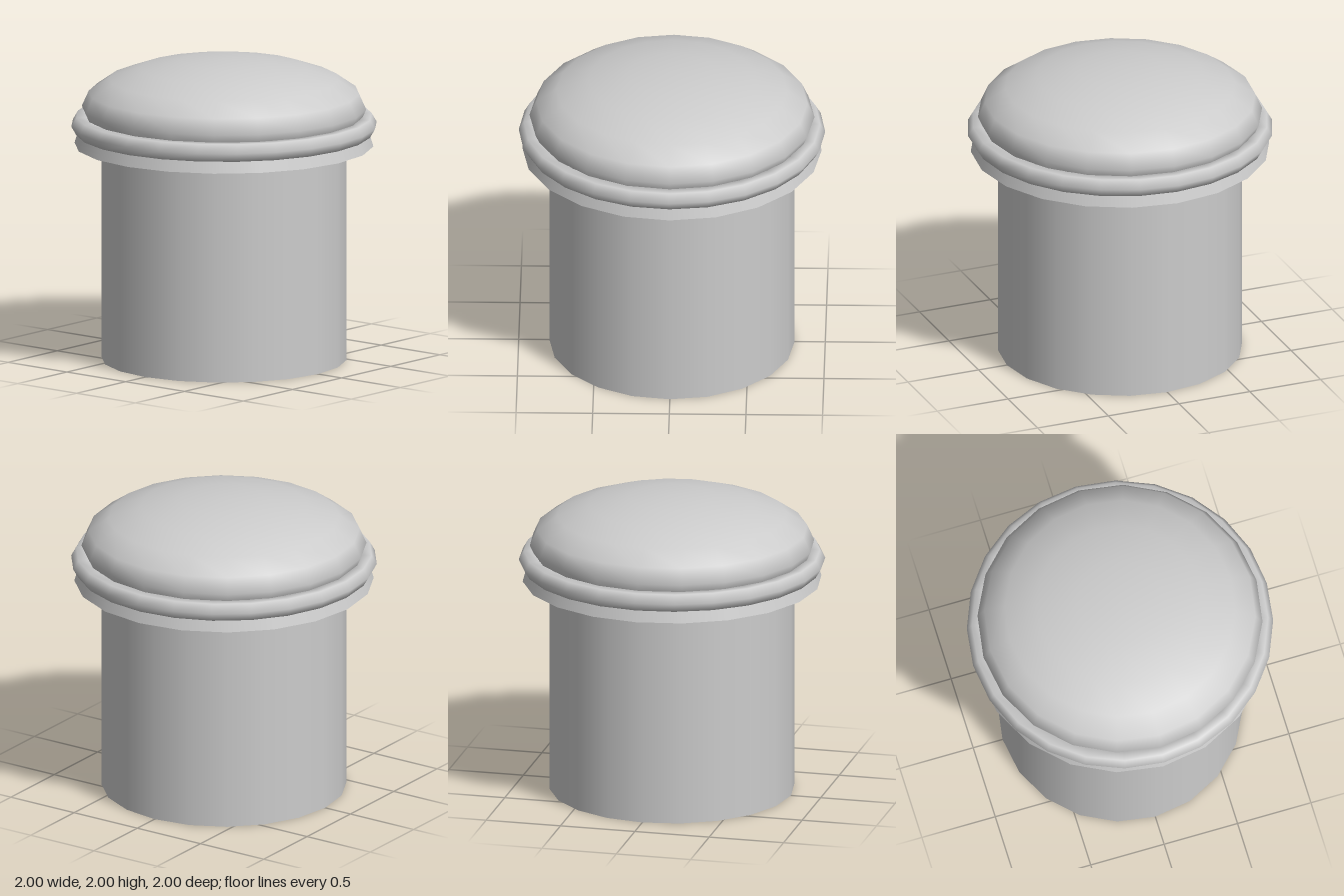
import * as THREE from 'three';

export function createModel() {
  const group = new THREE.Group();
  const grey = new THREE.MeshStandardMaterial({ color: 0xcccccc });
  grey.name = 'light grey';

  const add = (name, geometry, y) => {
    const mesh = new THREE.Mesh(geometry, grey);
    mesh.name = name;
    mesh.position.y = y;
    group.add(mesh);
    return mesh;
  };

  // Straight round stem, running up inside the cap
  add('stem', new THREE.CylinderGeometry(0.8, 0.8, 1.6, 20), 0.8);

  // Flared skirt under the ring, with a flat underside
  add('skirt', new THREE.CylinderGeometry(0.925, 0.977, 0.17, 20), 1.425 + 0.085);

  // Rounded ring around the cap
  const ring = new THREE.TorusGeometry(0.933, 0.067, 6, 24);
  ring.rotateX(-Math.PI / 2);
  add('ring', ring, 1.56);

  // Flattened dome on top
  const dome = new THREE.SphereGeometry(1, 20, 10);
  dome.scale(0.93, 0.327, 0.93);
  add('dome', dome, 1.67);

  return group;
}
